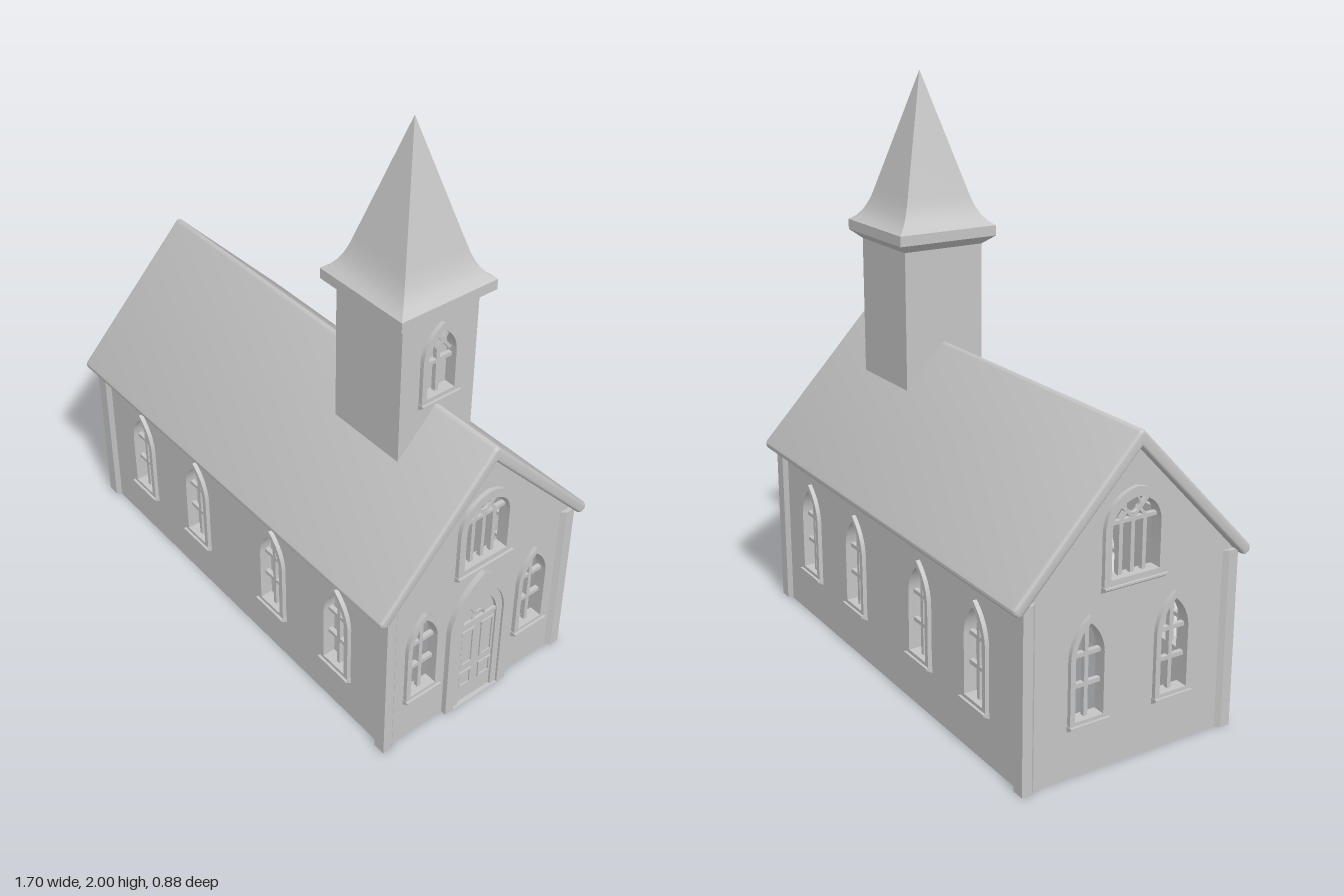
import * as THREE from 'three';
import { toCreasedNormals } from 'three/addons/utils/BufferGeometryUtils.js';

const stone = new THREE.MeshStandardMaterial({ color: 0xc4c4c4 });
stone.name = 'pale stone';

function add(parent, name, geometry, x = 0, y = 0, z = 0) {
  const m = new THREE.Mesh(geometry, stone);
  m.name = name;
  m.position.set(x, y, z);
  parent.add(m);
  return m;
}

const box = (parent, name, w, h, d, x, y, z) => add(parent, name, new THREE.BoxGeometry(w, h, d), x, y, z);

function extrude(shape, depth, bevel = 0) {
  return toCreasedNormals(new THREE.ExtrudeGeometry(shape, {
    depth: depth - 2 * bevel, curveSegments: 10, bevelEnabled: bevel > 0,
    bevelThickness: bevel, bevelSize: bevel, bevelOffset: -bevel, bevelSegments: 3,
  }).translate(0, 0, bevel), 0.6);
}

function polygon(points) {
  return new THREE.Shape(points.map(([x, y]) => new THREE.Vector2(x, y)));
}

// Pointed arch; round (0..1) sets how full the shoulders are
function arch(x, hw, y0, spring, top, round = 0.6) {
  const s = new THREE.Shape(), c = spring + (top - spring) * round;
  s.moveTo(x - hw, y0);
  s.lineTo(x + hw, y0);
  s.lineTo(x + hw, spring);
  s.quadraticCurveTo(x + hw * 0.94, c, x, top);
  s.quadraticCurveTo(x - hw * 0.94, c, x - hw, spring);
  s.lineTo(x - hw, y0);
  return s;
}

// Flat bar between two points, lying in the wall plane
function bar(parent, name, [x1, y1], [x2, y2], w, d, z) {
  const m = box(parent, name, Math.hypot(x2 - x1, y2 - y1), w, d, (x1 + x2) / 2, (y1 + y2) / 2, z);
  m.rotation.z = Math.atan2(y2 - y1, x2 - x1);
}

const KINDS = {
  nave: { hw: 0.07, in: 0.052, y0: 0.175, spring: 0.4, top: 0.53, round: 0.6 },
  gable: { hw: 0.115, in: 0.09, y0: 0.6, spring: 0.78, top: 0.905, round: 0.85 },
  tower: { hw: 0.076, in: 0.056, y0: 1.11, spring: 1.27, top: 1.39, round: 0.65 },
};

function opening(x, k) {
  const t = k.hw - k.in;
  return arch(x, k.in, k.y0 + t, k.spring, k.top - t * 1.3, k.round);
}

// Raised surround, sloping sill and tracery; the wall face is at z = 0
function makeWindow(parent, x, kind) {
  const k = KINDS[kind], g = new THREE.Group();
  g.name = kind + 'Window';
  g.position.x = x;
  parent.add(g);
  const frame = arch(0, k.hw, k.y0, k.spring, k.top, k.round);
  frame.holes.push(opening(0, k));
  add(g, 'windowSurround', extrude(frame, 0.015));
  const sill = extrude(polygon([[0, -0.016], [0.024, 0], [0.024, 0.006], [0, 0.006]]), 2 * k.hw + 0.004);
  add(g, 'windowSill', sill, k.hw + 0.002, k.y0, 0).rotation.y = -Math.PI / 2;
  g.children[1].scale.z = 1;

  const z = -0.013, d = 0.016, w = 0.014;
  const line = (a, b, width = w) => bar(g, 'tracery', a, b, width, d, z);
  if (kind === 'nave') {
    line([0, 0.19], [0, 0.51]);
    for (const y of [0.3, 0.4]) line([-k.in, y], [k.in, y]);
  } else if (kind === 'gable') {
    for (const px of [-0.044, 0, 0.044]) line([px, 0.61], [px, 0.8]);
    line([-k.in, 0.795], [k.in, 0.795], 0.012);
    add(g, 'traceryRing', new THREE.TorusGeometry(0.027, 0.006, 6, 20), 0, 0.84, z);
    for (const s of [-1, 1]) {
      line([0, 0.8], [s * 0.06, 0.86], 0.01);
      line([s * 0.044, 0.8], [s * 0.02, 0.83], 0.01);
    }
  } else {
    line([0, 1.12], [0, 1.29]);
    line([-k.in, 1.243], [k.in, 1.243]);
    for (const s of [-1, 1]) {
      line([0, 1.285], [s * 0.036, 1.33], 0.011);
      line([s * 0.05, 1.27], [0, 1.33], 0.011);
    }
  }
}

// Wall panel with openings, its outside face at local z = 0
function makeWall(parent, name, outline, windows) {
  const g = new THREE.Group();
  g.name = name;
  const shape = polygon(outline);
  for (const [x, kind] of windows) {
    shape.holes.push(opening(x, KINDS[kind]));
    makeWindow(g, x, kind);
  }
  add(g, name + 'Panel', extrude(shape, 0.03), 0, 0, -0.03);
  parent.add(g);
  return g;
}

function makeDoor(parent) {
  const g = new THREE.Group();
  g.name = 'door';
  parent.add(g);
  // Two stepped arches around the leaf
  const outer = arch(0, 0.135, 0, 0.37, 0.57);
  outer.holes.push(arch(0, 0.1, 0.0001, 0.36, 0.52));
  add(g, 'outerDoorArch', extrude(outer, 0.02));
  const inner = arch(0, 0.102, 0, 0.36, 0.523);
  inner.holes.push(arch(0, 0.075, 0.0001, 0.35, 0.475));
  add(g, 'innerDoorArch', extrude(inner, 0.012));
  box(g, 'doorLeaf', 0.15, 0.352, 0.004, 0, 0.176, 0.002);
  for (const s of [-1, 1]) {
    for (const [y, h] of [[0.25, 0.16], [0.105, 0.07]]) {
      const rim = polygon([[-0.028, -h / 2], [0.028, -h / 2], [0.028, h / 2], [-0.028, h / 2]]);
      const i = h / 2 - 0.008;
      rim.holes.push(polygon([[-0.02, -i], [0.02, -i], [0.02, i], [-0.02, i]]));
      add(g, 'doorPanel', extrude(rim, 0.005), s * 0.043, y, 0.004);
    }
  }
  // Fanlight
  box(g, 'transom', 0.15, 0.014, 0.01, 0, 0.36, 0.005);
  add(g, 'fanHub', new THREE.TorusGeometry(0.026, 0.005, 5, 14, Math.PI), 0, 0.366, 0.003);
  for (const a of [0.33, 0.67]) {
    const c = Math.cos(a * Math.PI), s = Math.sin(a * Math.PI);
    bar(g, 'fanSpoke', [c * 0.026, 0.366 + s * 0.026], [c * 0.092, 0.366 + s * 0.092], 0.011, 0.008, 0.004);
  }
}

export function createModel() {
  const model = new THREE.Group();
  model.name = 'chapel';

  // Long walls
  const xs = [-0.56, -0.215, 0.23, 0.575];
  const side = [[-0.8, 0], [0.8, 0], [0.8, 0.64], [-0.8, 0.64]];
  makeWall(model, 'frontWall', side, xs.map(x => [x, 'nave'])).position.z = 0.385;
  const back = makeWall(model, 'backWall', side, xs.map(x => [-x, 'nave']));
  back.position.z = -0.385;
  back.rotation.y = Math.PI;

  // Gable walls, one with the door
  const gable = [[-0.385, 0], [0.385, 0], [0.385, 0.64], [0, 1.05], [-0.385, 0.64]];
  for (const [s, offset] of [[1, 0.24], [-1, 0.16]]) {
    const wall = makeWall(model, s > 0 ? 'entranceGable' : 'rearGable', gable,
      [[-offset, 'nave'], [offset, 'nave'], [0, 'gable']]);
    wall.position.x = s * 0.82;
    wall.rotation.y = s * Math.PI / 2;
    if (s > 0) makeDoor(wall);
  }

  // Chamfered corner posts
  const post = [[0.835, 0.4], [0.79, 0.4], [0.775, 0.385], [0.775, 0.37],
    [0.805, 0.37], [0.805, 0.35], [0.82, 0.35], [0.835, 0.365]];
  for (const sx of [-1, 1]) for (const sz of [-1, 1]) {
    const g = extrude(polygon(post.map(([x, z]) => [x * sx, z * sz])), 0.615);
    add(model, 'cornerPost', g.rotateX(-Math.PI / 2));
  }

  // Roof slab with rounded eaves and ridge
  const roof = new THREE.Shape(), a = 0.761;
  roof.moveTo(-0.015, 1.071);
  roof.quadraticCurveTo(0, 1.091, 0.015, 1.071);
  roof.absarc(0.42, 0.615, 0.02, a, a - Math.PI, true);
  roof.lineTo(0, 1.027);
  roof.absarc(-0.42, 0.615, 0.02, -a, -a - Math.PI, true);
  add(model, 'roof', extrude(roof, 1.7, 0.01).translate(0, 0, -0.85).rotateY(Math.PI / 2));

  // Tower
  const tower = new THREE.Group();
  tower.name = 'tower';
  model.add(tower);
  box(tower, 'towerShaft', 0.277, 0.52, 0.304, 0.4085, 1.16, 0);
  const face = makeWall(tower, 'towerFace',
    [[-0.152, 0.9], [0.152, 0.9], [0.152, 1.42], [-0.152, 1.42]], [[0, 'tower']]);
  face.position.x = 0.575;
  face.rotation.y = Math.PI / 2;

  // Cornice and flared four-sided spire
  const profile = [[0.15, 1.41], [0.188, 1.442], [0.188, 1.478], [0.168, 1.493], [0.15, 1.515],
    [0.137, 1.54], [0.127, 1.565], [0.118, 1.595], [0, 2]];
  const spire = new THREE.LatheGeometry(
    profile.map(([r, y]) => new THREE.Vector2(r * Math.SQRT2, y)), 4, Math.PI / 4);
  add(tower, 'spire', toCreasedNormals(spire, 0.5), 0.4225, 0, 0);
  return model;
}
